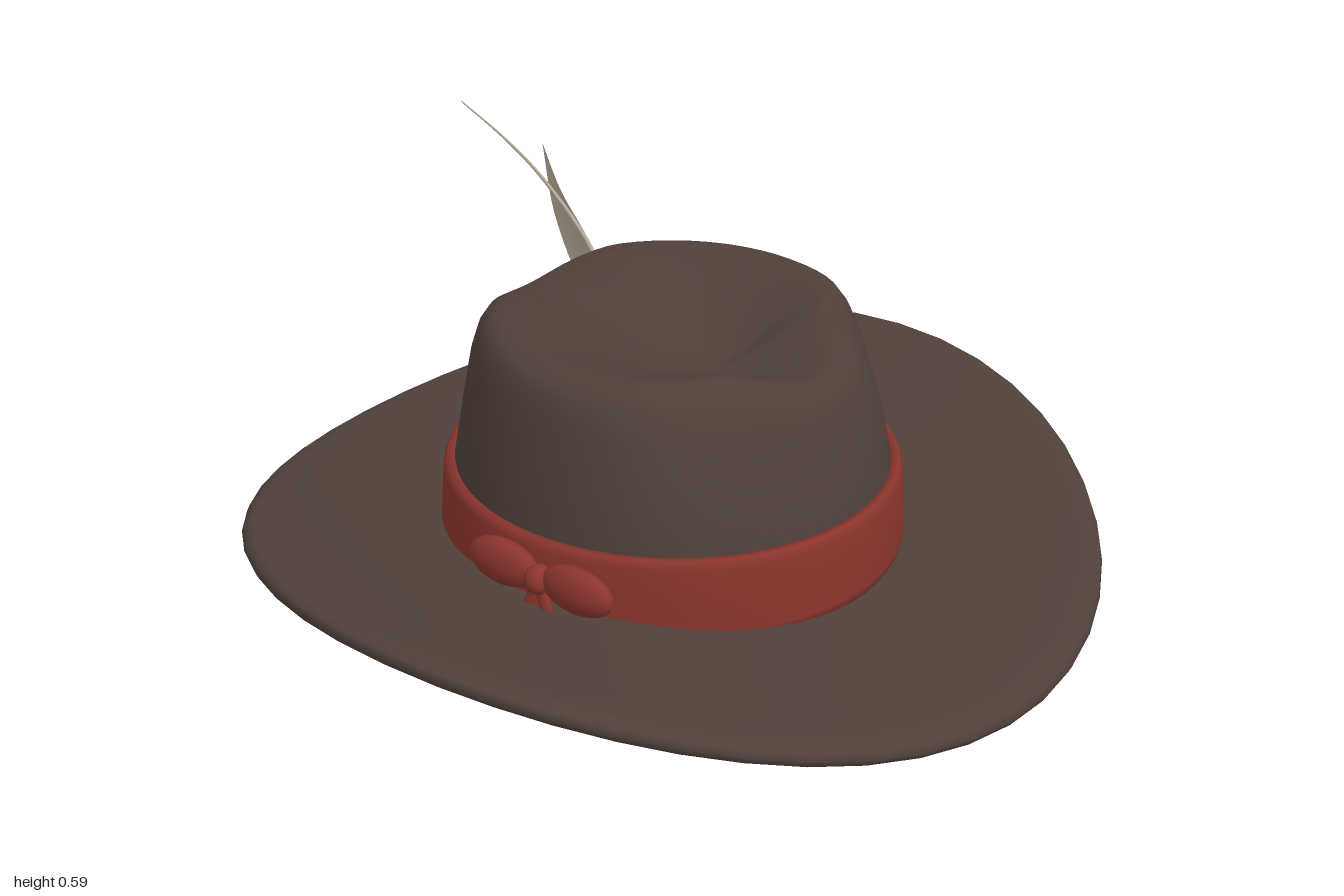
import * as THREE from 'three';
import { mergeVertices } from 'three/addons/utils/BufferGeometryUtils.js';

const CZ = 0.11; // crown and brim centre along z
const V = (x, y, z) => new THREE.Vector3(x, y, z);
const smooth = THREE.MathUtils.smoothstep;

function material(name, color, side = THREE.FrontSide) {
  const m = new THREE.MeshStandardMaterial({ color, side });
  m.name = name;
  return m;
}

// Grid surface from point(i, j); i may wrap round
function grid(ni, nj, wrap, point) {
  const pos = [], index = [];
  for (let j = 0; j <= nj; j++) {
    for (let i = 0; i <= ni; i++) pos.push(...point(wrap ? i % ni : i, j).toArray());
  }
  const at = (i, j) => j * (ni + 1) + i;
  for (let j = 0; j < nj; j++) {
    for (let i = 0; i < ni; i++) {
      index.push(at(i, j), at(i + 1, j), at(i + 1, j + 1), at(i, j), at(i + 1, j + 1), at(i, j + 1));
    }
  }
  let g = new THREE.BufferGeometry();
  g.setAttribute('position', new THREE.Float32BufferAttribute(pos, 3));
  g.setIndex(index);
  g = mergeVertices(g);
  g.computeVertexNormals();
  return g;
}

const ringPoint = (r, y, a, dz = 0) => V(r * Math.sin(a), y, CZ + dz + r * Math.cos(a));

// Brim: saddle with raised sides, drooping front and back, rounded edge
function brimGeometry() {
  const N = 48, profile = [];
  for (let k = 0; k <= 8; k++) profile.push([0.43 + 0.41 * k / 8, -0.025]);
  for (let k = 1; k < 6; k++) {
    const a = -Math.PI / 2 + Math.PI * k / 6;
    profile.push([0.84 + 0.042 * Math.cos(a), 0.027 * Math.sin(a)]);
  }
  for (let k = 8; k >= 0; k--) profile.push([0.43 + 0.41 * k / 8, 0.025]);
  profile.push(profile[0]);
  return grid(N, profile.length - 1, true, (i, j) => {
    const a = i / N * Math.PI * 2, [r, dy] = profile[j];
    const p = ringPoint(r, 0, a), z = p.z - CZ;
    p.y = 0.107 + dy + 0.15 * p.x * p.x - (z > 0 ? 0.095 : 0.042) * z * z;
    return p;
  });
}

// Crown: tapering wall, pinched front, dented top
function crownGeometry() {
  const N = 72, M = 12;
  const wall = [[0.455, 0], [0.445, 0.37], [0.425, 0.62], [0.407, 0.82], [0.392, 0.92], [0.375, 0.973], [0.352, 1]];
  return grid(N, wall.length - 1 + M, true, (i, j) => {
    const a = i / N * Math.PI * 2, c = Math.cos(a), s = Math.sin(a);
    const rim = 0.557 + 0.032 * smooth(Math.abs(s) * 0.35, 0, 0.2) - 0.015 * Math.max(0, c) ** 2;
    const away = Math.abs(i > N / 2 ? a - Math.PI * 2 : a) - 0.68;
    const pinch = 0.05 * Math.exp(-away * away / 0.09);
    if (j < wall.length) {
      const [r, f] = wall[j];
      return ringPoint(r - pinch * f ** 4, 0.1 + (rim - 0.1) * f, a);
    }
    const t = 1 - (j - wall.length + 1) / M;
    const y = 0.485 + (rim - 0.485) * smooth(t, 0, 1);
    return ringPoint((0.352 - pinch) * t, y, a, 0.09 * (1 - t));
  });
}

// Ribbon band around the crown
function bandGeometry() {
  const N = 64;
  const profile = [[0.452, 0.1], [0.475, 0.105], [0.477, 0.13], [0.473, 0.2], [0.468, 0.265], [0.46, 0.281], [0.446, 0.281], [0.44, 0.268]];
  return grid(N, profile.length - 1, true, (i, j) => ringPoint(profile[j][0], profile[j][1], i / N * Math.PI * 2));
}

// Feather vane: ruled between its upper and lower edges, slightly cupped
function vaneGeometry() {
  const upper = new THREE.CatmullRomCurve3([V(0.385, 0.235, -0.22), V(0.445, 0.36, -0.4), V(0.5, 0.43, -0.52), V(0.565, 0.48, -0.64), V(0.68, 0.53, -0.79)]);
  const lower = new THREE.CatmullRomCurve3([V(0.385, 0.235, -0.22), V(0.445, 0.232, -0.39), V(0.5, 0.28, -0.52), V(0.6, 0.4, -0.69), V(0.68, 0.53, -0.79)]);
  const N = 24, M = 4;
  return grid(N, M, false, (i, j) => {
    const u = i / N, v = j / M;
    const p = lower.getPoint(u).lerp(upper.getPoint(u), v);
    p.x += 0.012 * Math.sin(Math.PI * u) * Math.sin(Math.PI * v);
    return p;
  });
}

// Feather quill: thin tapering stem
function quillGeometry() {
  const curve = new THREE.CatmullRomCurve3([V(0.37, 0.22, -0.19), V(0.43, 0.335, -0.38), V(0.48, 0.425, -0.5), V(0.54, 0.515, -0.68), V(0.58, 0.562, -0.82), V(0.63, 0.603, -1)]);
  const N = 28, S = 6;
  return grid(S, N, true, (i, j) => {
    const u = j / N, a = i / S * Math.PI * 2, r = 0.007 * (1 - u) + 0.0015;
    const t = curve.getTangent(u);
    const side = V(0, 1, 0).cross(t).normalize(), up = t.clone().cross(side);
    return curve.getPoint(u).addScaledVector(side, r * Math.cos(a)).addScaledVector(up, r * Math.sin(a));
  });
}

export function createModel() {
  const group = new THREE.Group();
  group.name = 'featheredHat';
  const felt = material('brown felt', 0x50403a);
  const crownFelt = material('brown crown felt', 0x50403a, THREE.DoubleSide);
  const ribbon = material('red ribbon', 0x8c352e);
  const plume = material('pale feather', 0xb8ab98, THREE.DoubleSide);
  const add = (name, geometry, mat, parent = group) => {
    const mesh = new THREE.Mesh(geometry, mat);
    mesh.name = name;
    parent.add(mesh);
    return mesh;
  };

  add('brim', brimGeometry(), felt);
  add('crown', crownGeometry(), crownFelt);
  add('band', bandGeometry(), ribbon);

  // Bow on the side: two loops, a knot and two tails
  const bow = new THREE.Group();
  bow.name = 'bow';
  group.add(bow);
  const ball = new THREE.SphereGeometry(1, 20, 14);
  const knot = add('bowKnot', ball, ribbon, bow);
  knot.position.set(-0.5, 0.225, 0.165);
  knot.scale.set(0.03, 0.03, 0.028);
  for (const s of [-1, 1]) {
    const loop = add('bowLoop', ball, ribbon, bow);
    loop.position.set(-0.495, 0.23, 0.165 + s * 0.09);
    loop.scale.set(0.032, 0.048, 0.084);
    const from = V(-0.5, 0.225, 0.165), to = V(-0.512, 0.035, 0.17 + s * 0.065);
    const dir = from.clone().sub(to);
    const tailShape = new THREE.CylinderGeometry(0.012, 0.024, dir.length(), 12);
    tailShape.scale(0.6, 1, 1);
    const tail = add('bowTail', tailShape, ribbon, bow);
    tail.position.copy(from).add(to).multiplyScalar(0.5);
    tail.quaternion.setFromUnitVectors(V(0, 1, 0), dir.normalize());
  }

  // Feather tucked into the band
  const feather = new THREE.Group();
  feather.name = 'feather';
  group.add(feather);
  add('featherVane', vaneGeometry(), plume, feather);
  add('featherQuill', quillGeometry(), plume, feather);
  return group;
}
